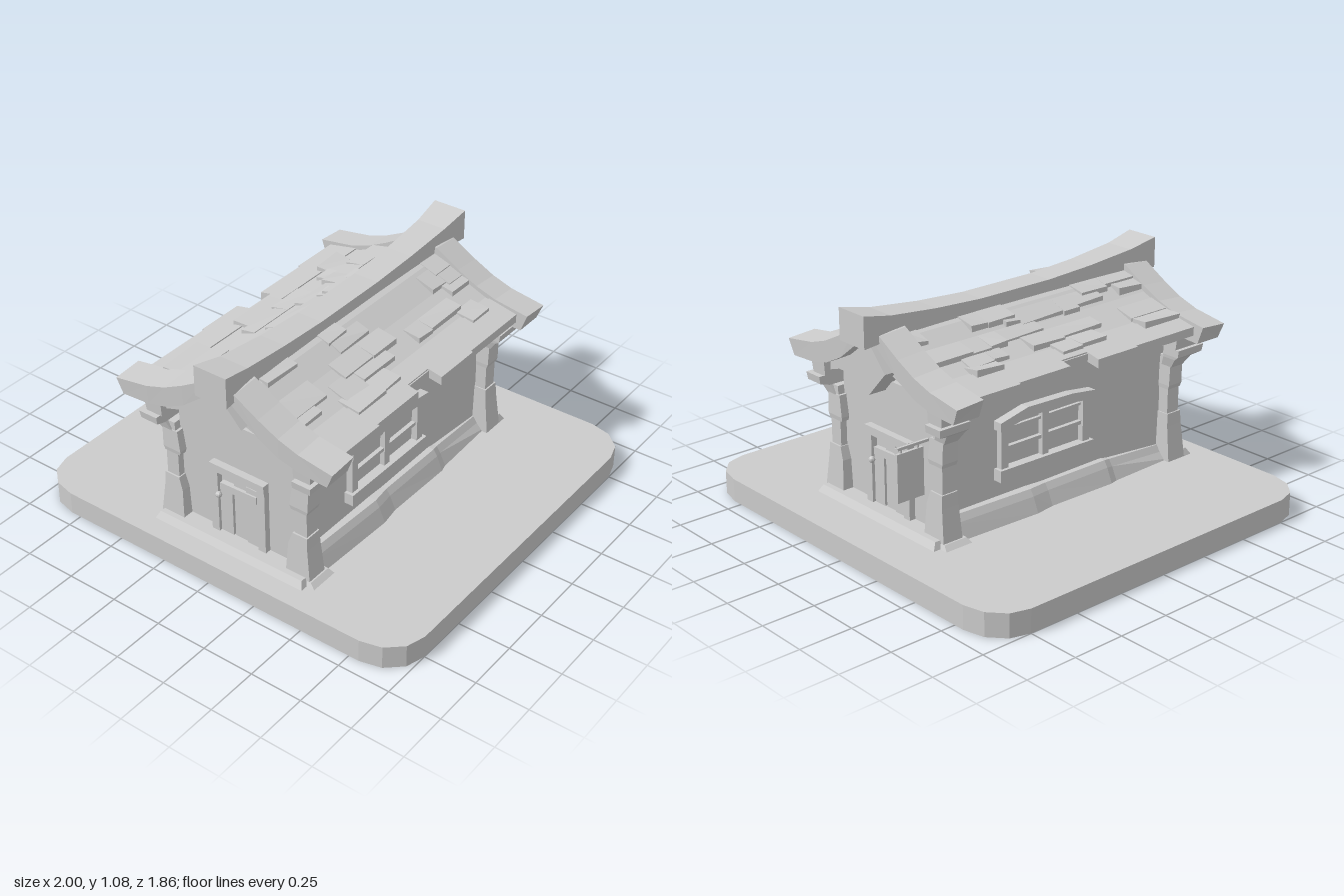
import * as THREE from 'three';

const mat = new THREE.MeshStandardMaterial({ color: 0xcccccc, flatShading: true, side: THREE.DoubleSide });

function mesh(parent, name, geo, x = 0, y = 0, z = 0) {
  const m = new THREE.Mesh(geo, mat);
  m.name = name;
  m.position.set(x, y, z);
  parent.add(m);
  return m;
}

// box given by its min and max on each axis
function box(parent, name, x0, x1, y0, y1, z0, z1) {
  return mesh(parent, name, new THREE.BoxGeometry(x1 - x0, y1 - y0, z1 - z0),
    (x0 + x1) / 2, (y0 + y1) / 2, (z0 + z1) / 2);
}

// solid skinned over rings of points, capped at both ends, wound outwards
function loft(parent, name, rings) {
  const tris = [], n = rings[0].length, last = rings[rings.length - 1];
  for (let i = 0; i + 1 < rings.length; i++) {
    for (let j = 0; j < n; j++) {
      const k = (j + 1) % n, a = rings[i], b = rings[i + 1];
      tris.push([a[j], a[k], b[k]], [a[j], b[k], b[j]]);
    }
  }
  for (let j = 1; j + 1 < n; j++) {
    tris.push([rings[0][0], rings[0][j + 1], rings[0][j]], [last[0], last[j], last[j + 1]]);
  }
  let volume = 0;
  for (const [a, b, c] of tris) {
    volume += new THREE.Vector3(...a).dot(new THREE.Vector3(...b).cross(new THREE.Vector3(...c)));
  }
  const geo = new THREE.BufferGeometry();
  const pts = tris.flatMap(([a, b, c]) => (volume < 0 ? [a, c, b] : [a, b, c])).flat();
  geo.setAttribute('position', new THREE.Float32BufferAttribute(pts, 3));
  geo.computeVertexNormals();
  return mesh(parent, name, geo);
}

const ringXZ = (y, x0, x1, z0, z1) => [[x0, y, z0], [x1, y, z0], [x1, y, z1], [x0, y, z1]];
const ringXY = (z, x0, x1, y0, y1) => [[x0, y0, z], [x1, y0, z], [x1, y1, z], [x0, y1, z]];
const rect = (x0, x1, y0, y1) => [[x0, y0], [x1, y0], [x1, y1], [x0, y1]];
const mirrored = (pts) => [...pts, ...pts.filter(p => p[0] > 0).reverse().map(([x, y]) => [-x, y])];

function shape(points, hole) {
  const toV = ([x, y]) => new THREE.Vector2(x, y);
  const s = new THREE.Shape(points.map(toV));
  if (hole) s.holes.push(new THREE.Path(hole.map(toV)));
  return s;
}
const extrude = (s, depth) => new THREE.ExtrudeGeometry(s, { depth, bevelEnabled: false });

// roof height over distance from the ridge line
const roofLine = [[0, 0.97], [0.09, 0.945], [0.2, 0.885], [0.35, 0.825], [0.54, 0.785]];
function roofY(d) {
  let i = 0;
  while (i < roofLine.length - 2 && d > roofLine[i + 1][0]) i++;
  const [a, b] = [roofLine[i], roofLine[i + 1]];
  return a[1] + (b[1] - a[1]) * (d - a[0]) / (b[0] - a[0]);
}

let seed = 7;
const rand = (a, b) => {
  seed = (seed * 16807) % 2147483647;
  return a + (b - a) * seed / 2147483647;
};

function addWindow(parent) {
  const g = new THREE.Group();
  g.name = 'window';
  g.position.x = -0.015;
  parent.add(g);
  box(g, 'windowPane', 0.335, 0.34, 0.32, 0.56, -0.13, 0.33);
  loft(g, 'windowSill', [ringXY(-0.175, 0.32, 0.385, 0.295, 0.34), ringXY(0.375, 0.32, 0.385, 0.29, 0.345)]);
  // cambered lintel
  loft(g, 'windowLintel', [[-0.18, 0.535, 0.575], [-0.04, 0.55, 0.593], [0.22, 0.555, 0.6], [0.375, 0.525, 0.565]]
    .map(([z, y0, y1]) => ringXY(z, 0.32, 0.385, y0, y1)));
  for (const z of [-0.16, 0.32]) box(g, 'windowJamb', 0.32, 0.37, 0.335, 0.55, z, z + 0.04);
  box(g, 'windowMullion', 0.33, 0.365, 0.335, 0.56, 0.082, 0.118);
  box(g, 'windowBar', 0.33, 0.36, 0.42, 0.437, -0.13, 0.33);
  box(g, 'windowBar', 0.33, 0.355, 0.51, 0.522, -0.13, 0.33);
}

function addDoor(parent) {
  const g = new THREE.Group();
  g.name = 'door';
  parent.add(g);
  box(g, 'doorLintel', -0.14, 0.155, 0.462, 0.5, 0.65, 0.71);
  box(g, 'doorJamb', -0.14, -0.1, 0.13, 0.465, 0.65, 0.705);
  box(g, 'doorJamb', 0.115, 0.155, 0.13, 0.465, 0.65, 0.705);
  [[-0.1, 0.38, 0.69], [-0.025, 0.465, 0.685], [0.045, 0.44, 0.692]].forEach(([x, top, z]) =>
    box(g, 'doorPlank', x, x + 0.067, 0.13, top, 0.65, z));
  const cross = box(g, 'doorCrossBoard', -0.09, 0.105, 0.375, 0.41, 0.66, 0.7);
  cross.rotation.z = 0.03;
  mesh(g, 'doorKnob', new THREE.SphereGeometry(0.015, 8, 6), -0.09, 0.35, 0.712);
}

// corner post with sloping foot, stout shaft and flared bracket
function addPost(parent, s) {
  const g = new THREE.Group();
  g.name = 'cornerPost';
  parent.add(g);
  const part = (name, ...rows) => loft(g, name, rows.map(([y, x0, x1, z0, z1]) => ringXZ(y, s * x0, s * x1, z0, z1)));
  part('postFoot', [0.11, 0.28, 0.41, 0.625, 0.73], [0.28, 0.29, 0.39, 0.63, 0.72], [0.34, 0.31, 0.387, 0.632, 0.716]);
  part('postShaft', [0.28, 0.315, 0.38, 0.637, 0.708], [0.47, 0.315, 0.38, 0.637, 0.708], [0.62, 0.325, 0.39, 0.637, 0.708]);
  part('postBand', [0.46, 0.3, 0.383, 0.634, 0.712], [0.48, 0.295, 0.39, 0.632, 0.715], [0.58, 0.31, 0.392, 0.634, 0.712]);
  part('postBracket', [0.57, 0.335, 0.395, 0.635, 0.71], [0.62, 0.36, 0.43, 0.62, 0.725],
    [0.635, 0.36, 0.45, 0.618, 0.775], [0.67, 0.36, 0.455, 0.618, 0.78]);
  part('postHead', [0.67, 0.35, 0.435, 0.618, 0.755], [0.75, 0.35, 0.445, 0.618, 0.76]);
}

// one gable end plus one long side; the house is two of these turned about y
function buildHalf() {
  const g = new THREE.Group();
  g.name = 'houseHalf';

  const side = extrude(shape(rect(-0.67, 0.67, 0.1, 0.79), rect(-0.33, 0.13, 0.33, 0.55)), 0.025);
  mesh(g, 'sideWall', side.rotateY(Math.PI / 2), 0.3);
  const gable = mirrored([[0, 0.1], [0.325, 0.1], [0.325, 0.79], [0.2, 0.85], [0.09, 0.91], [0, 0.94]]);
  mesh(g, 'gableWall', extrude(shape(gable), 0.025), 0, 0, 0.65);
  box(g, 'wallPlate', 0.3, 0.355, 0.735, 0.785, -0.66, 0.66);
  box(g, 'tieBeam', -0.36, 0.36, 0.7, 0.745, 0.65, 0.7);

  // uneven stone skirt and doorstep
  loft(g, 'sideSkirt', [[-0.66, 0.17, 0.35], [-0.3, 0.2, 0.365], [-0.26, 0.208, 0.375], [0.1, 0.205, 0.37], [0.2, 0.21, 0.385], [0.66, 0.212, 0.37]]
    .map(([z, top, x]) => [[0.31, 0.11, z], [x + 0.03, 0.11, z], [x, top - 0.03, z], [x - 0.02, top, z], [0.31, top, z]]));
  loft(g, 'doorstep', [ringXZ(0.11, -0.41, 0.4, 0.66, 0.775), ringXZ(0.142, -0.395, 0.385, 0.66, 0.755)]);
  loft(g, 'cornerStone', [ringXZ(0.11, 0.32, 0.44, 0.6, 0.74), ringXZ(0.13, 0.32, 0.415, 0.61, 0.73)]);

  addPost(g, 1);
  addPost(g, -1);
  addWindow(g);
  addDoor(g);

  // upswept barge boards, braces and diamond boss
  const barge = [[0.08, 0.985], [0.2, 0.915], [0.3, 0.865], [0.4, 0.832], [0.57, 0.805]];
  const under = [[0.06, 0.915], [0.2, 0.805], [0.3, 0.755], [0.4, 0.73], [0.54, 0.722]];
  for (const s of [1, -1]) {
    loft(g, 'bargeBoard', [[[0, 1.0], [0, 0.94]], ...barge.map((p, i) => [p, under[i]])].map(([[x, y], [u, v]]) =>
      [[s * x, y, 0.645], [s * x, y - 0.01, 0.785], [s * u, v, 0.78], [s * u, v, 0.645]]));
    loft(g, 'gableBrace', [[0.05, 0.8, 0.9], [0.2, 0.745, 0.82], [0.38, 0.685, 0.75]].map(([x, y0, y1]) =>
      [[s * x, y0, 0.65], [s * x, y1, 0.65], [s * x, y1, 0.725], [s * x, y0, 0.725]]));
  }
  const boss = new THREE.BoxGeometry(0.158, 0.158, 0.1).rotateZ(Math.PI / 4).scale(1, 1.08, 1);
  mesh(g, 'gableDiamond', boss, 0, 0.815, 0.735);

  // curved roof deck
  loft(g, 'roofDeck', [0, 0.09, 0.2, 0.35, 0.46].map(d => {
    const y = roofY(d);
    return [[d, y, -0.66], [d, y, 0.66], [d, y - 0.035, 0.66], [d, y - 0.035, -0.66]];
  }));
  // long eave boards, some cut short
  [[-0.66, -0.28, 0.515], [-0.28, -0.04, 0.525], [-0.04, 0.11, 0.455], [0.11, 0.4, 0.51], [0.4, 0.66, 0.52]].forEach(([z0, z1, d1]) =>
    loft(g, 'eaveBoard', [z0, z1].map(z => [
      [0.37, roofY(0.37) - 0.04, z], [d1, roofY(d1) - 0.035, z], [d1, roofY(d1) + 0.006, z], [0.37, roofY(0.37) + 0.006, z]])));
  // staggered shingles
  for (const d of [0.4, 0.33, 0.26, 0.19, 0.13]) {
    let z = -0.65;
    while (z < 0.62) {
      const w = Math.min(rand(0.08, 0.24), 0.65 - z);
      if (rand(0, 1) < 0.6) {
        const d0 = d - 0.08, d1 = d + rand(-0.015, 0.03);
        const lift = rand(0.014, 0.028), skew = rand(-0.01, 0.01);
        loft(g, 'shingle', [[z, lift], [z + w, lift + skew]].map(([zz, h]) => [
          [d0, roofY(d0) - 0.02, zz], [d1, roofY(d1) - 0.02, zz],
          [d1, roofY(d1) + h, zz], [d0, roofY(d0) + 0.004, zz]]));
      }
      z += w;
    }
  }
  return g;
}

export function createModel() {
  const model = new THREE.Group();
  model.name = 'house';

  // round-cornered ground: a top sheet cut out under the house, and a thin rim open below
  const outline = [];
  [[1, 1], [-1, 1], [-1, -1], [1, -1]].forEach(([sx, sz], corner) => {
    for (let k = 0; k <= 3; k++) {
      const a = (corner + k / 3) * Math.PI / 2;
      outline.push([sx * 0.8 + 0.2 * Math.cos(a), sz * 0.75 + 0.18 * Math.sin(a)]);
    }
  });
  const top = new THREE.ShapeGeometry(shape(outline, rect(-0.28, 0.34, -0.71, 0.6)));
  mesh(model, 'groundTop', top.rotateX(-Math.PI / 2), 0, 0.11, 0);
  const rim = extrude(shape(outline, outline.map(([x, z]) => [x * 0.997, z * 0.997])), 0.11);
  mesh(model, 'groundRim', rim.rotateX(-Math.PI / 2));

  const house = new THREE.Group();
  house.name = 'building';
  house.position.set(0.03, 0, 0.055);
  model.add(house);
  const front = buildHalf(), back = buildHalf();
  back.rotation.y = Math.PI;
  house.add(front, back);

  // sagging ridge beam
  const ridge = [[0.85, 0.083, 0.935, 1.08], [0.7, 0.072, 0.945, 1.048], [0.45, 0.065, 0.95, 1.022], [0.2, 0.062, 0.95, 1.008]];
  loft(house, 'ridgeBeam', [...ridge, ...ridge.map(([z, ...k]) => [-z, ...k]).reverse()]
    .map(([z, w, y0, y1]) => ringXY(z - 0.015, -w, w, y0, y1)));

  // hanging sign by the back door
  box(house, 'signRod', -0.256, -0.244, 0.535, 0.547, -0.84, -0.65);
  box(house, 'signBoard', -0.257, -0.243, 0.3, 0.52, -0.845, -0.705);
  for (const z of [-0.82, -0.73]) box(house, 'signHook', -0.253, -0.247, 0.515, 0.54, z - 0.004, z + 0.004);
  return model;
}
